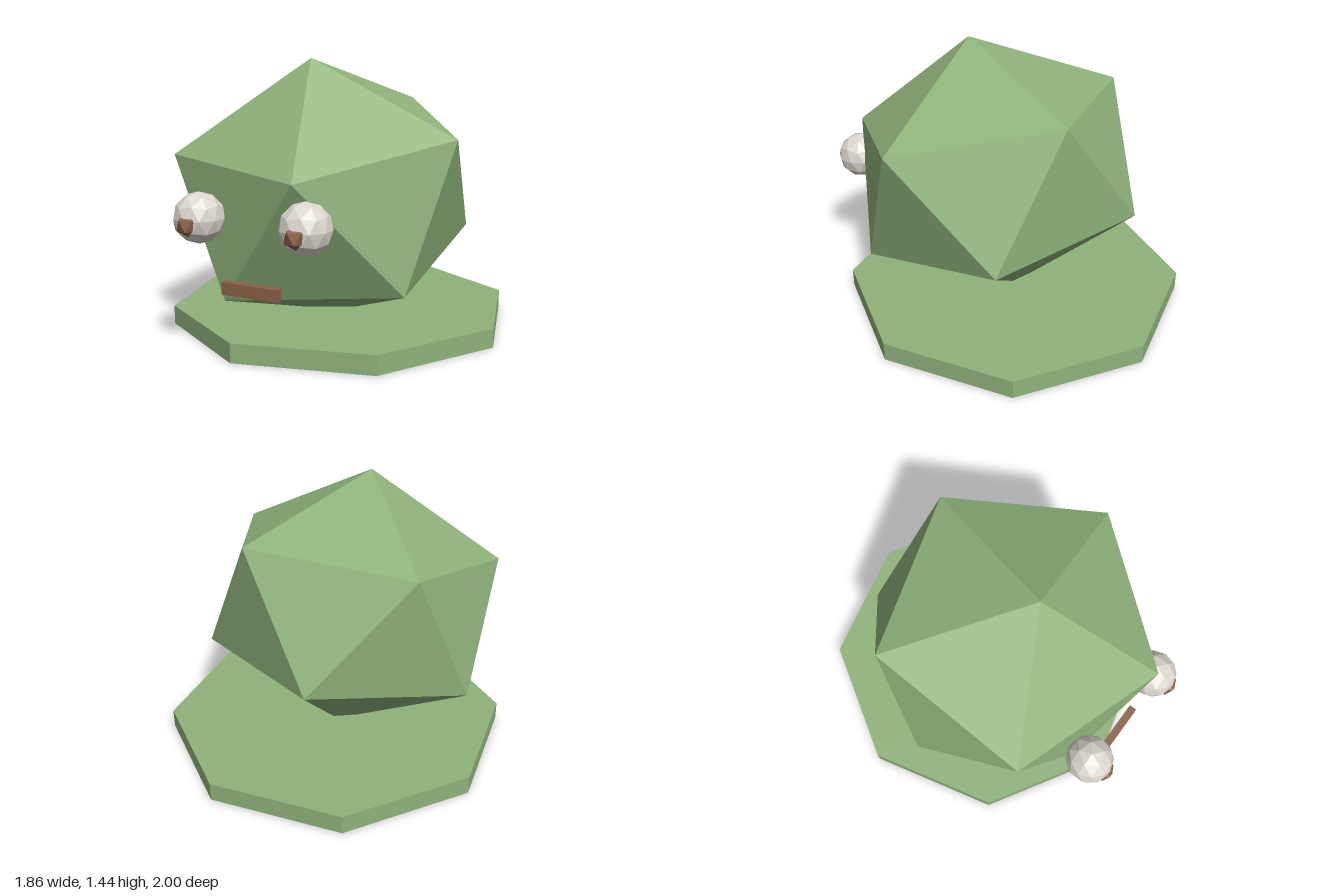
import * as THREE from 'three';
import { ConvexGeometry } from 'three/addons/geometries/ConvexGeometry.js';

function material(name, color) {
  const m = new THREE.MeshStandardMaterial({ color, flatShading: true });
  m.name = name;
  return m;
}

export function createModel() {
  const model = new THREE.Group();
  const green = material('leaf green', 0x8fb27b);
  const white = material('eye white', 0xdcd6ce);
  const brown = material('brown', 0x8c6149);

  const add = (name, geometry, mat, x, y, z) => {
    const mesh = new THREE.Mesh(geometry, mat);
    mesh.name = name;
    mesh.position.set(x, y, z);
    model.add(mesh);
    return mesh;
  };

  // Octagonal base
  add('base', new THREE.CylinderGeometry(0.93, 0.93, 0.1, 8), green, 0, 0.05, -0.07);

  // Tilted, slightly flattened icosahedron: six corners and their opposites
  const corners = [
    [0.02, 0.705, 0.16], [-0.66, 0.415, -0.28], [0.14, 0.475, -0.66],
    [0.76, 0.315, -0.037], [0.34, 0.155, 0.732], [-0.54, 0.217, 0.585],
  ].map((c) => new THREE.Vector3(...c));
  const points = corners.concat(corners.map((c) => c.clone().negate()));
  add('body', new ConvexGeometry(points), green, 0.01, 0.735, 0.088);

  // Faceted balls with one corner pointing up
  const ball = (radius, detail) =>
    new THREE.IcosahedronGeometry(radius, detail).rotateZ(Math.atan(2 / (1 + Math.sqrt(5))));

  // Eyes and pupils; the face is turned a little to its left
  const turn = 0.14;
  for (const [side, x, z] of [['right', -0.18, 0.86], ['left', 0.4, 0.782]]) {
    add(side + 'Eye', ball(0.127, 1), white, x, 0.69, z).rotation.y = turn;
    add(side + 'Pupil', ball(0.063, 0), brown, x + 0.013, 0.67, z + 0.083).rotation.y = turn;
  }

  // Mouth
  add('mouth', new THREE.BoxGeometry(0.305, 0.06, 0.042), brown, 0.12, 0.37, 0.836).rotation.y = turn;

  return model;
}
